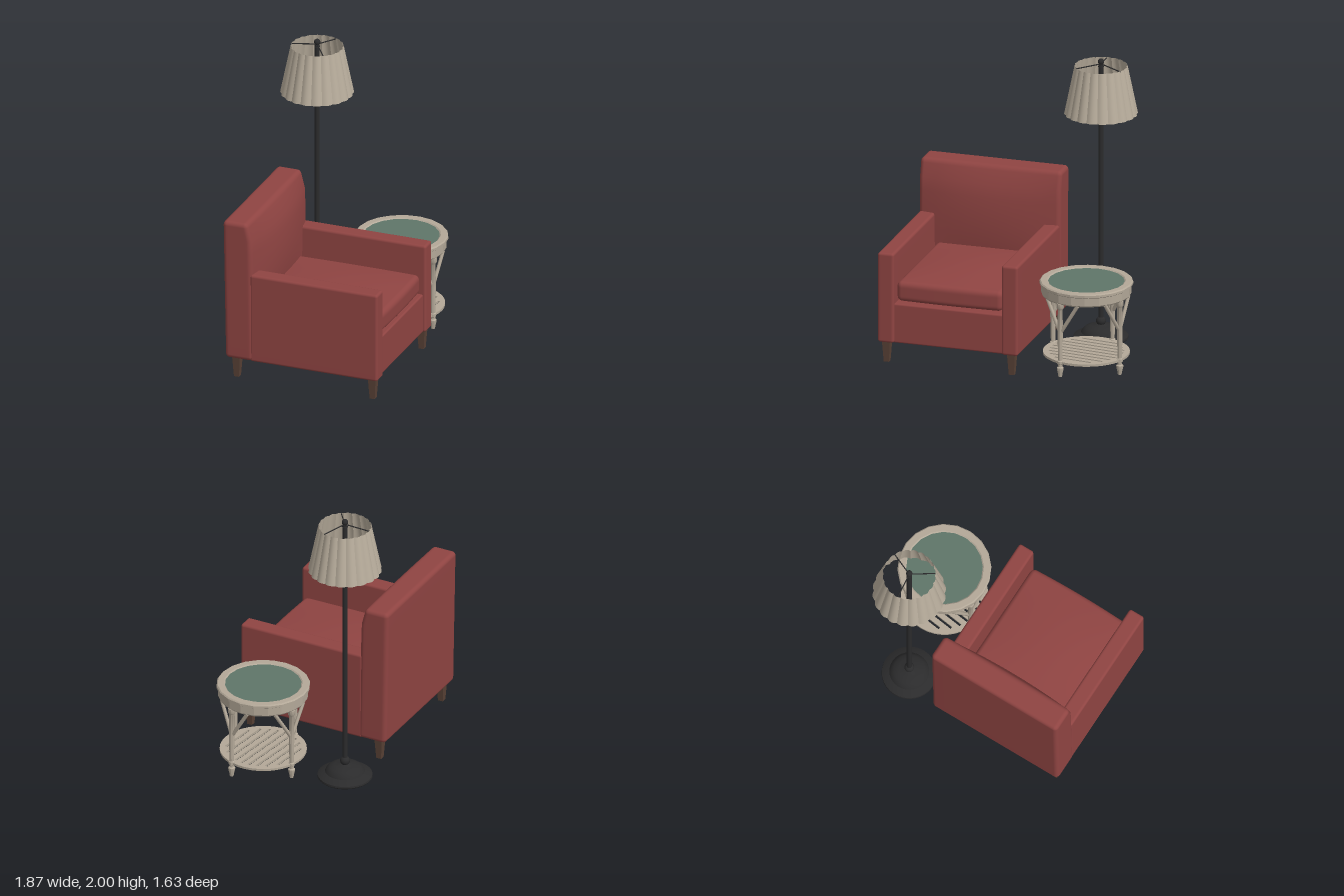
import * as THREE from 'three';
import { mergeVertices, toCreasedNormals } from 'three/addons/utils/BufferGeometryUtils.js';

const paint = (color, extra = {}) => {
  const m = new THREE.MeshStandardMaterial({ color, ...extra });
  return m;
};
const RED = paint(0x8f4442), WOOD = paint(0x594236), CREAM = paint(0xb3a898);
const GREEN = paint(0x5f7569), BLACK = paint(0x2b2b2c);
const SHADE = paint(0xb8ad9c, { side: THREE.DoubleSide });

function add(parent, name, geometry, material, x = 0, y = 0, z = 0) {
  const mesh = new THREE.Mesh(geometry, material);
  mesh.name = name;
  mesh.position.set(x, y, z);
  parent.add(mesh);
  return mesh;
}

// Upholstered block: rounded box whose vertices can be shaped further by a rule
function soft(w, h, d, r, rule) {
  const n = 18, k = 4;
  let g = new THREE.BoxGeometry(w, h, d, n, n, n);
  g.deleteAttribute('uv');
  g.deleteAttribute('normal');
  g = mergeVertices(g);
  const half = [w / 2, h / 2, d / 2], p = g.attributes.position;
  const spread = (v, s) => {
    const i = Math.round((v / s + 1) / 2 * n);
    if (i <= k) return -s + r * i / k;
    if (i >= n - k) return s - r * (n - i) / k;
    return (s - r) * (2 * (i - k) / (n - 2 * k) - 1);
  };
  const v = new THREE.Vector3(), core = new THREE.Vector3();
  for (let i = 0; i < p.count; i++) {
    v.fromBufferAttribute(p, i);
    v.set(...v.toArray().map((c, a) => spread(c, half[a])));
    core.set(...v.toArray().map((c, a) => THREE.MathUtils.clamp(c, r - half[a], half[a] - r)));
    v.sub(core).setLength(r).add(core);
    if (rule) rule(v);
    p.setXYZ(i, v.x, v.y, v.z);
  }
  g.computeVertexNormals();
  return g;
}

const lathe = (pts, seg, crease = 0.6) =>
  toCreasedNormals(new THREE.LatheGeometry(pts.map(q => new THREE.Vector2(...q)), seg), crease);

// Straight rod between two points
function rod(parent, name, a, b, r, material, seg = 6) {
  const A = new THREE.Vector3(...a), B = new THREE.Vector3(...b);
  const dir = B.clone().sub(A);
  const mesh = add(parent, name, new THREE.CylinderGeometry(r, r, dir.length(), seg), material);
  mesh.position.copy(A).add(B).multiplyScalar(0.5);
  mesh.quaternion.setFromUnitVectors(new THREE.Vector3(0, 1, 0), dir.normalize());
}

const dome = t => Math.max(0, 1 - t * t);

function armchair() {
  const g = new THREE.Group();
  g.name = 'armchair';
  add(g, 'seatBase', soft(0.79, 0.28, 0.93, 0.012), RED, 0, 0.285, 0.08);
  add(g, 'seatCushion', soft(0.75, 0.14, 0.9, 0.035, v => {
    if (v.y > 0) v.y += 0.03 * dome(v.x / 0.375) * dome(v.z / 0.45);
    if (v.z > 0.4) v.z += 0.01 * dome(v.x / 0.375);
  }), RED, 0, 0.508, 0.08);
  // Back leans slightly and its front swells like a pillow
  add(g, 'backrest', soft(1.005, 1.01, 0.205, 0.03, v => {
    const front = THREE.MathUtils.clamp(v.z / 0.07, 0, 1);
    v.z -= 0.018 * (v.y + 0.505);
    v.z += front * (0.045 * dome(v.x / 0.5) * dome((v.y - 0.15) / 0.36)
      - 0.025 * THREE.MathUtils.smoothstep(v.y, 0.36, 0.5));
  }), RED, 0, 0.65, -0.442);
  for (const s of [-1, 1]) {
    add(g, 'arm', soft(0.115, 0.64, 0.93, 0.018), RED, s * 0.441, 0.465, 0.1);
    for (const z of [-0.475, 0.515]) {
      const leg = new THREE.CylinderGeometry(0.04, 0.026, 0.15, 4);
      leg.rotateY(Math.PI / 4);
      add(g, 'chairLeg', toCreasedNormals(leg, 0.5), WOOD, s * 0.445, 0.075, z);
    }
  }
  g.position.set(-0.2525, 0, 0.1);
  g.rotation.y = 0.42;
  return g;
}

function sideTable() {
  const g = new THREE.Group();
  g.name = 'sideTable';
  add(g, 'tableRim', lathe([[0.258, 0.52], [0.3, 0.52], [0.307, 0.53], [0.307, 0.585], [0.318, 0.592],
    [0.318, 0.608], [0.31, 0.616], [0.268, 0.616], [0.258, 0.608], [0.258, 0.52]], 20, 0.3), CREAM);
  add(g, 'tableTop', new THREE.CylinderGeometry(0.262, 0.262, 0.015, 32), GREEN, 0, 0.602, 0);

  // Slatted shelf: disc with parallel slots
  const disc = new THREE.Shape().absarc(0, 0, 0.295, 0, Math.PI * 2);
  for (let i = -4; i <= 4; i++) {
    const y = i * 0.054, x = Math.sqrt(0.255 ** 2 - y * y);
    disc.holes.push(new THREE.Path([[-x, y - 0.009], [-x, y + 0.009], [x, y + 0.009], [x, y - 0.009]]
      .map(q => new THREE.Vector2(...q))));
  }
  const shelf = new THREE.ExtrudeGeometry(disc, { depth: 0.016, bevelEnabled: false, curveSegments: 20 });
  shelf.rotateX(-Math.PI / 2);
  add(g, 'shelf', shelf, CREAM, 0, 0.094, 0).rotation.y = 0.22;

  // Turned legs, each with a pair of spreading braces
  const profile = [[0, 0], [0.013, 0], [0.016, 0.02], [0.024, 0.055], [0.024, 0.065], [0.015, 0.072],
    [0.015, 0.088], [0.021, 0.092], [0.021, 0.112], [0.015, 0.118], [0.019, 0.3], [0.017, 0.48],
    [0.025, 0.492], [0.025, 0.525], [0, 0.525]];
  for (let i = 0; i < 4; i++) {
    const corner = new THREE.Group();
    corner.name = 'legAndBraces';
    corner.rotation.y = i * Math.PI / 2;
    add(corner, 'tableLeg', lathe(profile, 10), CREAM, 0, 0, 0.287);
    for (const s of [-1, 1])
      rod(corner, 'brace', [s * 0.006, 0.32, 0.285], [s * 0.13, 0.525, 0.262], 0.013, CREAM);
    g.add(corner);
  }
  g.position.set(0.62, 0, -0.077);
  g.rotation.y = 0.07;
  return g;
}

function floorLamp() {
  const g = new THREE.Group();
  g.name = 'floorLamp';
  add(g, 'lampBase', lathe([[0, 0], [0.182, 0], [0.188, 0.008], [0.186, 0.02], [0.165, 0.033], [0.135, 0.045],
    [0.125, 0.062], [0.105, 0.08], [0.07, 0.092], [0.035, 0.098], [0.022, 0.104], [0, 0.104]], 32), BLACK);
  add(g, 'baseKnob', new THREE.SphereGeometry(0.034, 16, 10), BLACK, 0, 0.122, 0);
  add(g, 'pole', new THREE.CylinderGeometry(0.018, 0.018, 1.86, 12), BLACK, 0, 1.03, 0);
  add(g, 'finialNeck', new THREE.CylinderGeometry(0.012, 0.02, 0.03, 12), BLACK, 0, 1.957, 0);
  add(g, 'finial', new THREE.SphereGeometry(0.022, 16, 10), BLACK, 0, 1.978, 0);

  // Fluted open shade
  const flutes = 20;
  const shade = new THREE.CylinderGeometry(0.178, 0.247, 0.34, flutes * 6, 1, true);
  const p = shade.attributes.position;
  for (let i = 0; i < p.count; i++) {
    const x = p.getX(i), z = p.getZ(i);
    const k = 0.972 + 0.042 * Math.abs(Math.sin(Math.atan2(z, x) * flutes / 2));
    p.setXYZ(i, x * k, p.getY(i), z * k);
  }
  add(g, 'lampShade', toCreasedNormals(shade, 0.5), SHADE, 0, 1.78, 0);
  for (let i = 0; i < 3; i++) {
    const a = i * Math.PI * 2 / 3;
    rod(g, 'shadeSpoke', [0, 1.962, 0], [0.176 * Math.cos(a), 1.945, 0.176 * Math.sin(a)], 0.004, BLACK);
  }
  g.position.set(0.305, 0, -0.573);
  return g;
}

export function createModel() {
  const model = new THREE.Group();
  model.name = 'readingCorner';
  model.add(armchair(), sideTable(), floorLamp());
  return model;
}
